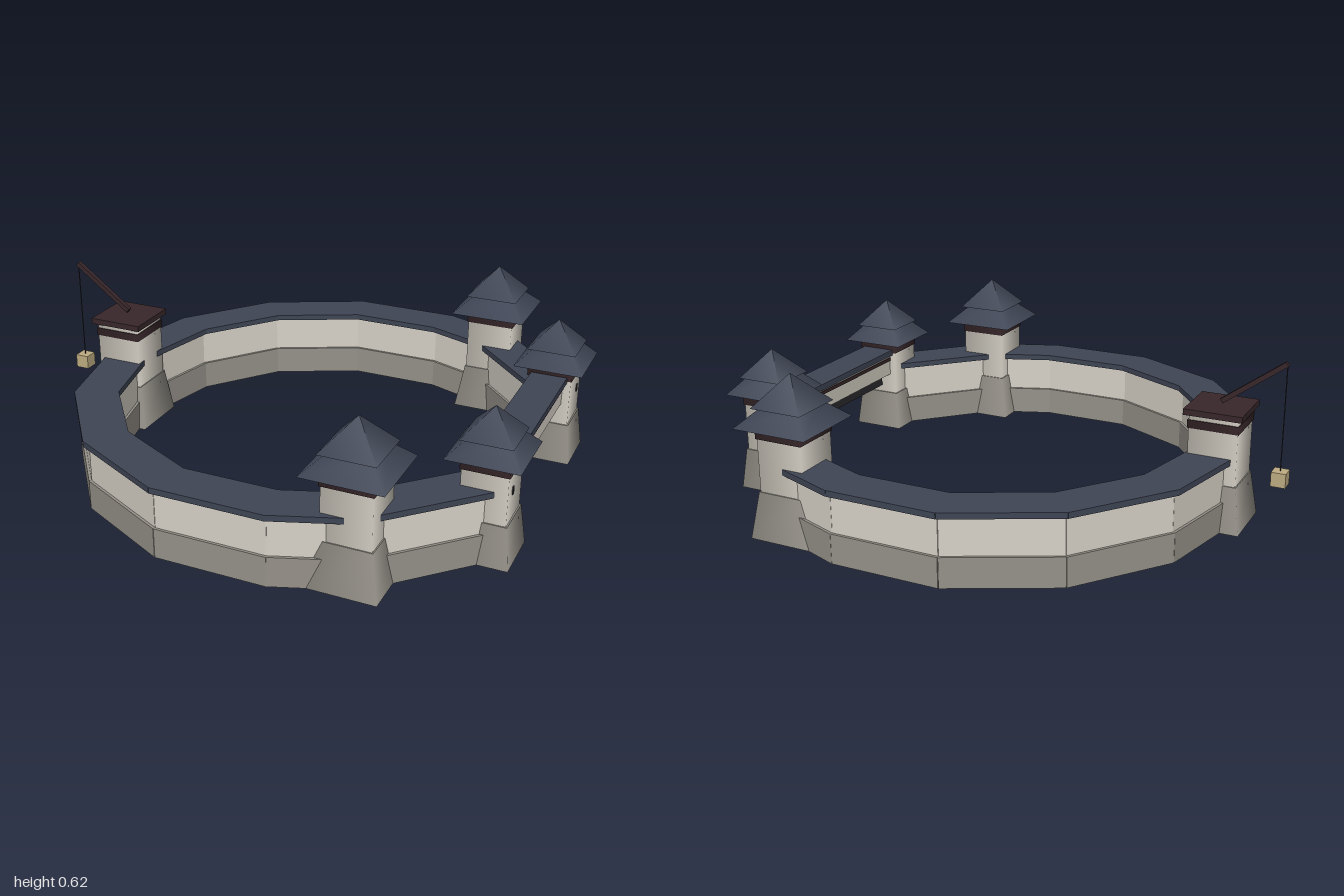
import * as THREE from 'three';

const mat = (color) => new THREE.MeshStandardMaterial({ color });
const plaster = mat(0xd8d3c8), stone = mat(0x96928a), slate = mat(0x3f4555);
const timber = mat(0x38272a), dark = mat(0x2b2b2f), crateWood = mat(0xbfad82);

function add(parent, name, geometry, material, x = 0, y = 0, z = 0) {
  const mesh = new THREE.Mesh(geometry, material);
  mesh.name = name;
  mesh.position.set(x, y, z);
  parent.add(mesh);
  return mesh;
}

const box = (w, h, d) => new THREE.BoxGeometry(w, h, d);

// Square tapered block, sized by its half widths at bottom and top
function block(parent, name, material, halfBottom, halfTop, y0, y1) {
  const g = new THREE.CylinderGeometry(halfTop * Math.SQRT2, halfBottom * Math.SQRT2, y1 - y0, 4);
  g.rotateY(Math.PI / 4);
  return add(parent, name, g, material, 0, (y0 + y1) / 2, 0);
}

// Tower body: battered stone foot, plaster shaft and timber band
function towerBody(name, x, z, s) {
  const tower = new THREE.Group();
  tower.name = name;
  tower.position.set(x, 0, z);
  block(tower, 'foot', stone, s.foot, s.footTop, 0, s.footY);
  block(tower, 'shaft', plaster, s.shaft, s.shaft, s.footY, s.top);
  block(tower, 'band', timber, s.shaft + 0.004, s.shaft + 0.004, s.bandY, s.bandY + 0.03);
  return tower;
}

// Two-tier pyramid roof
function towerRoof(tower, s) {
  block(tower, 'lowerRoof', slate, s.eave, s.eave * 0.45, s.top, s.top + 0.075);
  block(tower, 'upperRoof', slate, s.cap, 0, s.capY, s.apex);
}

// Wall section between two plan points, overlapping its neighbours at the corners
function wallSection([x0, z0], [x1, z1], side) {
  const wall = new THREE.Group();
  wall.name = 'wallSection';
  const dx = x1 - x0, dz = (z1 - z0) * side;
  const length = Math.hypot(dx, dz);
  wall.position.set((x0 + x1) / 2, 0, side * (z0 + z1) / 2);
  wall.rotation.y = -Math.atan2(dz, dx);
  add(wall, 'wallFoot', box(length + 0.03, 0.11, 0.14), stone, 0, 0.055, 0);
  add(wall, 'wallFace', box(length + 0.026, 0.14, 0.12), plaster, 0, 0.18, 0);
  add(wall, 'wallRoof', box(length + 0.036, 0.022, 0.162), slate, 0, 0.259, 0);
  return wall;
}

export function createModel() {
  const model = new THREE.Group();
  model.name = 'ringWall';

  const path = [[-0.755, 0], [-0.67, 0.375], [-0.44, 0.67], [-0.1, 0.838],
    [0.28, 0.838], [0.535, 0.743], [0.867, 0.403]];
  const large = { foot: 0.12, footTop: 0.093, footY: 0.17, shaft: 0.089, top: 0.41,
    bandY: 0.365, eave: 0.145, cap: 0.1, capY: 0.475, apex: 0.587 };
  const small = { foot: 0.103, footTop: 0.085, footY: 0.152, shaft: 0.08, top: 0.375,
    bandY: 0.33, eave: 0.128, cap: 0.09, capY: 0.435, apex: 0.537 };

  // Mirrored halves of the ring
  for (const side of [1, -1]) {
    for (let i = 0; i < path.length - 1; i++) model.add(wallSection(path[i], path[i + 1], side));
    const wallTower = towerBody('wallTower', 0.535, side * 0.743, large);
    towerRoof(wallTower, large);
    const gateTower = towerBody('gateTower', 0.867, side * 0.403, small);
    towerRoof(gateTower, small);
    add(gateTower, 'slitWindow', box(0.006, 0.028, 0.012), dark, 0.081, 0.262, side * 0.028);
    model.add(wallTower, gateTower);
  }

  // Covered bridge between the gate towers
  const bridge = new THREE.Group();
  bridge.name = 'gateBridge';
  bridge.position.x = 0.865;
  add(bridge, 'bridgeWall', box(0.106, 0.087, 0.66), plaster, 0, 0.278, 0);
  add(bridge, 'bridgeRail', box(0.114, 0.014, 0.66), timber, 0, 0.302, 0);
  add(bridge, 'bridgeRoof', box(0.135, 0.024, 0.66), slate, 0, 0.332, 0);
  add(bridge, 'gateBeam', box(0.05, 0.048, 0.6), dark, 0, 0.212, 0);
  model.add(bridge);

  // Crane tower with a flat timber platform
  const crane = towerBody('craneTower', -0.75, 0, { ...large, foot: 0.117, top: 0.416 });
  add(crane, 'platform', box(0.212, 0.022, 0.212), timber, 0, 0.426, 0);
  model.add(crane);

  // Jib, rope and hanging crate
  const foot = new THREE.Vector3(-0.75, 0.45, 0), tip = new THREE.Vector3(-0.973, 0.614, 0);
  const reach = tip.clone().sub(foot);
  const jib = add(model, 'jib', box(reach.length(), 0.018, 0.018), timber);
  jib.position.copy(foot).lerp(tip, 0.5);
  jib.rotation.z = Math.atan2(reach.y, reach.x);
  add(model, 'rope', new THREE.CylinderGeometry(0.002, 0.002, 0.39, 6), dark, -0.973, 0.417, 0);
  add(model, 'crate', box(0.053, 0.053, 0.053), crateWood, -0.973, 0.198, 0);

  return model;
}
